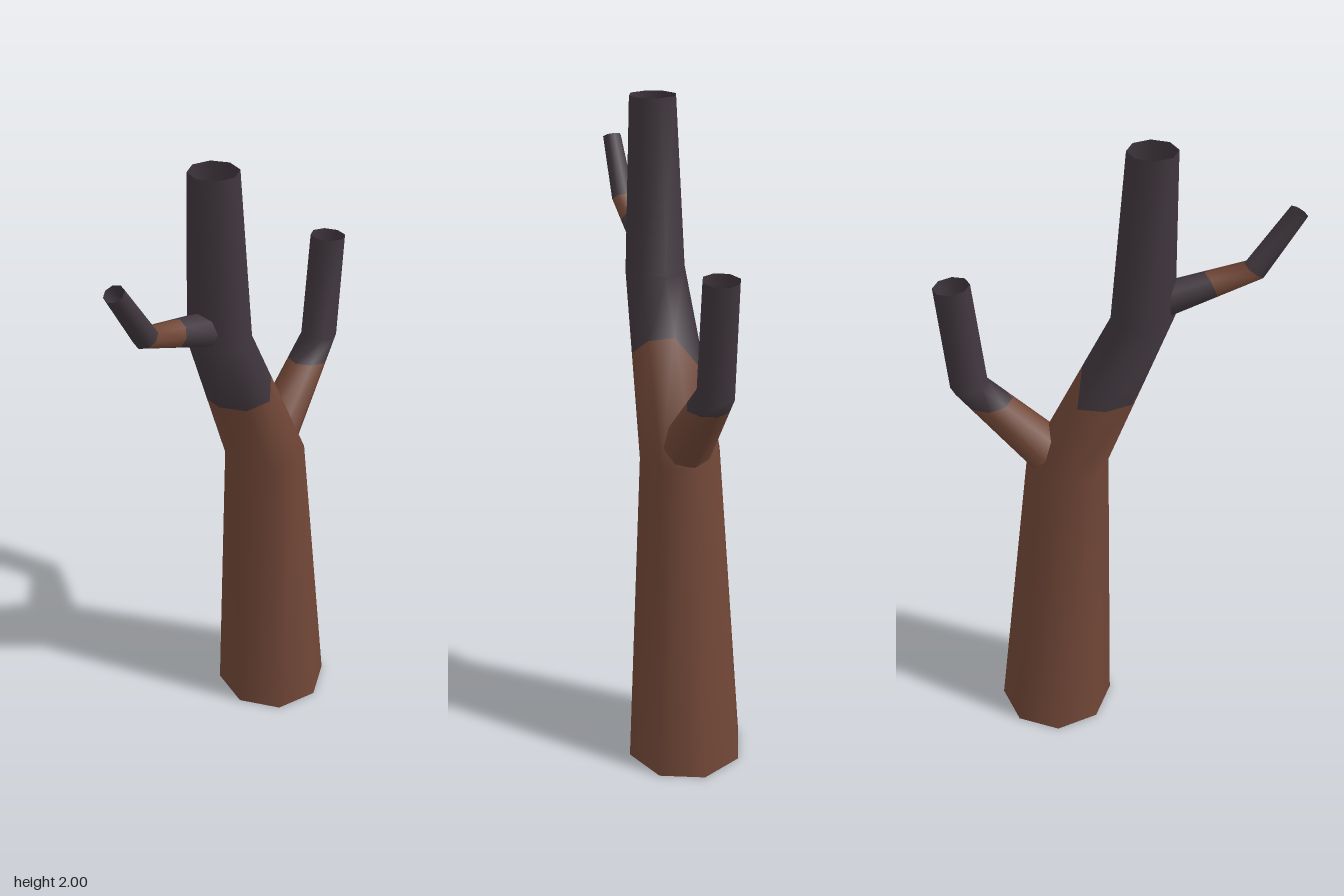
import * as THREE from 'three';

const SIDES = 8;

const bark = new THREE.MeshStandardMaterial({ color: 0x714737, side: THREE.DoubleSide });
bark.name = 'brown bark';
const charred = new THREE.MeshStandardMaterial({ color: 0x40373e, side: THREE.DoubleSide });
charred.name = 'charred bark';
const materials = [bark, charred];

// Ring of points around (x, y); tilt is the lean of the ring in the xy plane
function ring(x, y, radius, tilt = 0) {
  return Array.from({ length: SIDES }, (_, k) => {
    const angle = (k / SIDES) * Math.PI * 2;
    const u = radius * Math.cos(angle);
    return new THREE.Vector3(x + u * Math.cos(tilt), y + u * Math.sin(tilt), radius * Math.sin(angle));
  });
}

// Uneven ring between two others, where the bark changes colour
function burnLine(lower, upper, fractions) {
  return lower.map((p, k) => p.clone().lerp(upper[k], fractions[k]));
}

// Open smooth tube through the rings; colours gives the material of each band
function limb(name, rings, colours) {
  const index = [];
  const geometry = new THREE.BufferGeometry().setFromPoints(rings.flat());
  colours.forEach((colour, band) => {
    geometry.addGroup(index.length, SIDES * 6, colour);
    for (let k = 0; k < SIDES; k++) {
      const a = band * SIDES + k;
      const b = band * SIDES + ((k + 1) % SIDES);
      index.push(a, a + SIDES, b, b, a + SIDES, b + SIDES);
    }
  });
  geometry.setIndex(index);
  geometry.computeVertexNormals();
  const mesh = new THREE.Mesh(geometry, materials);
  mesh.name = name;
  return mesh;
}

export function createModel() {
  const tree = new THREE.Group();
  tree.name = 'deadTree';

  // Trunk: tapers, leans to one side, then straightens
  const fork = ring(0.155, 1.0, 0.125);
  const crook = ring(-0.07, 1.5, 0.092);
  const trunkBurn = burnLine(fork, crook, [0.68, 0.66, 0.56, 0.54, 0.54, 0.5, 0.5, 0.48]);
  tree.add(limb('trunk',
    [ring(0.215, 0, 0.185), fork, trunkBurn, crook, ring(-0.09, 2, 0.07)],
    [0, 0, 1, 1]));

  // Thick lower branch
  const lowBase = ring(0.22, 1.05, 0.075, -0.73);
  const lowBend = ring(0.435, 1.29, 0.056, -0.18);
  const lowBurn = burnLine(lowBase, lowBend, [0.82, 0.8, 0.74, 0.7, 0.68, 0.7, 0.74, 0.8]);
  tree.add(limb('lowerBranch',
    [lowBase, lowBurn, lowBend, ring(0.4625, 1.615, 0.053, -0.09)],
    [0, 1, 1]));

  // Thin upper branch with a bare brown patch before its bend
  const highBase = ring(-0.12, 1.55, 0.052, 1.22);
  const highBend = ring(-0.38, 1.64, 0.036, 0.59);
  const highBurn = burnLine(highBase, highBend, [0.56, 0.58, 0.56, 0.53, 0.55, 0.53, 0.56, 0.58]);
  tree.add(limb('upperBranch',
    [highBase, highBurn, highBend, ring(-0.49, 1.812, 0.029, 0.48)],
    [1, 0, 1]));

  return tree;
}
